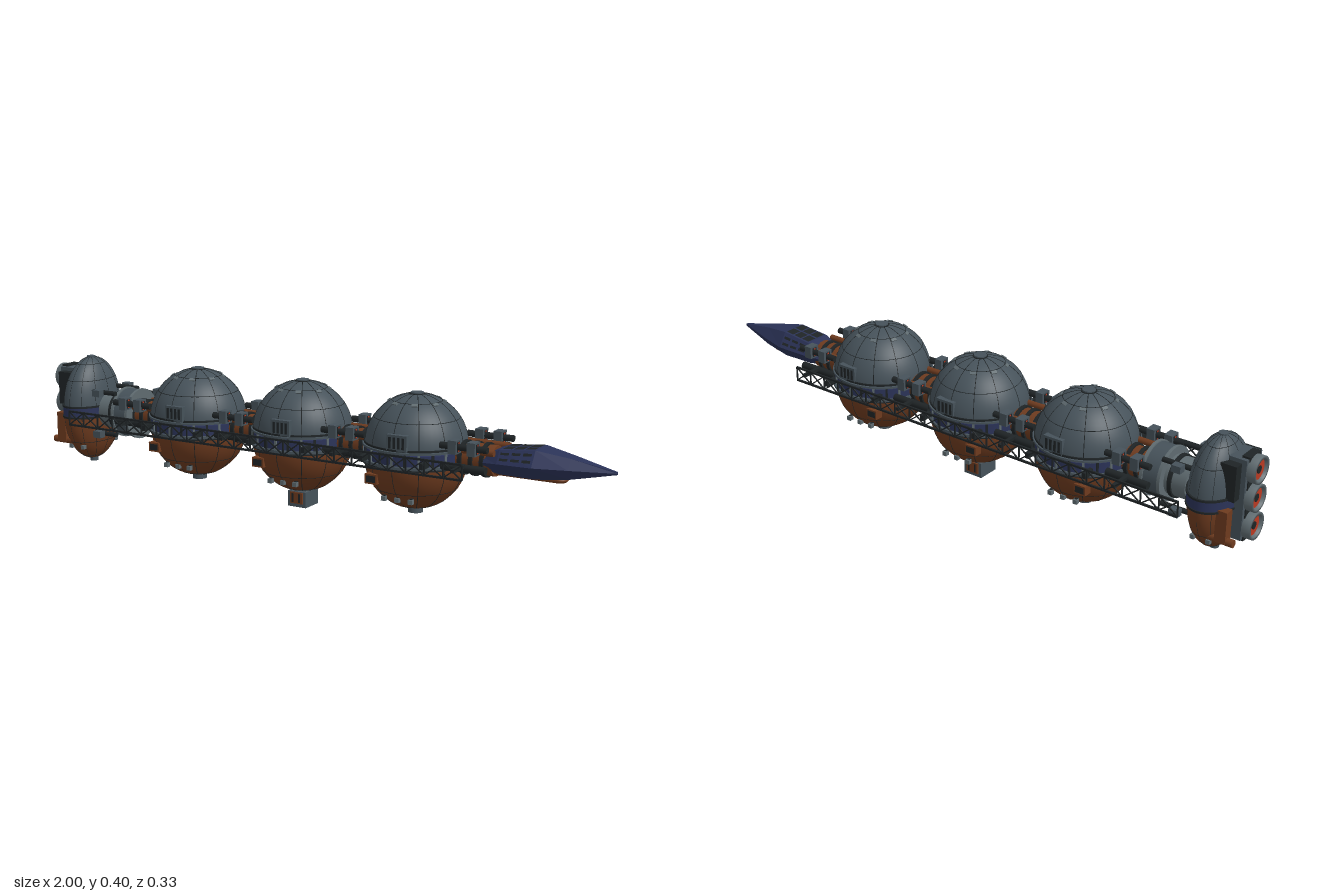
import * as THREE from 'three';

const paint = (name, color) => {
  const m = new THREE.MeshStandardMaterial({ color, side: THREE.DoubleSide });
  m.name = name;
  return m;
};

export function createModel() {
  const slate = paint('slate hull', 0x46525a), brown = paint('rust brown', 0x6e3b1f);
  const navy = paint('navy', 0x2b3358), dark = paint('dark metal', 0x1f2426);
  const steel = paint('steel', 0x5f6b70), glow = paint('engine red', 0xb83a22);
  const navyFlat = paint('navy faceted', 0x2b3358);
  navyFlat.flatShading = true;

  const ship = new THREE.Group();
  ship.name = 'ship';
  const group = (name, parent = ship, x = 0, y = 0, z = 0) => {
    const g = new THREE.Group();
    g.name = name;
    g.position.set(x, y, z);
    parent.add(g);
    return g;
  };
  const add = (parent, name, geo, mat, x = 0, y = 0, z = 0) => {
    const m = new THREE.Mesh(geo, mat);
    m.name = name;
    m.position.set(x, y, z);
    parent.add(m);
    return m;
  };
  const box = (p, name, mat, x, y, z, w, h, d) => add(p, name, new THREE.BoxGeometry(w, h, d), mat, x, y, z);
  const tubeX = (p, name, mat, x, y, z, r, len, seg = 24) =>
    add(p, name, new THREE.CylinderGeometry(r, r, len, seg).rotateZ(Math.PI / 2), mat, x, y, z);
  const discY = (p, name, mat, x, y, z, r, len, seg = 32) =>
    add(p, name, new THREE.CylinderGeometry(r, r, len, seg), mat, x, y, z);
  const strut = (p, name, mat, a, b, t) => {
    const A = new THREE.Vector3(...a), B = new THREE.Vector3(...b);
    const m = box(p, name, mat, 0, 0, 0, t, t, A.distanceTo(B));
    m.position.copy(A).add(B).multiplyScalar(0.5);
    m.lookAt(B);
  };

  // Two hemispheres with panel seams, in unit scale so they can be stretched
  const shell = (p, r, gap, meridians) => {
    for (const s of [1, -1]) {
      const half = group(s > 0 ? 'upperShell' : 'lowerShell', p, 0, s * gap);
      add(half, 'dome', new THREE.SphereGeometry(r, 48, 16, 0, Math.PI * 2, s > 0 ? 0 : Math.PI / 2, Math.PI / 2), s > 0 ? slate : brown);
      for (let i = 0; i < meridians; i++) {
        const arc = new THREE.TorusGeometry(r, 0.0011, 4, 20, Math.PI / 2);
        if (s < 0) arc.rotateZ(-Math.PI / 2);
        add(half, 'seam', arc, dark).rotation.y = i * Math.PI * 2 / meridians;
      }
      for (const f of s > 0 ? [0.55, 0.87] : [0.57, 0.92])
        add(half, 'ringSeam', new THREE.TorusGeometry(r * Math.sqrt(1 - f * f), 0.0011, 4, 40).rotateX(Math.PI / 2), dark, 0, s * r * f);
    }
  };

  // Spherical tanks
  const Y = 0.225, R = 0.155;
  [-0.43, -0.03, 0.37].forEach((x, k) => {
    const tank = group('tank', ship, x, Y);
    shell(tank, R, 0.02, 12);
    discY(tank, 'navyBelt', navy, 0, 0, 0, 0.157, 0.032, 48);
    for (const [y, r, h, m] of [[0.03, 0.158, 0.006, dark], [0.023, 0.162, 0.006, slate], [-0.021, 0.163, 0.008, slate], [-0.028, 0.159, 0.005, dark]])
      discY(tank, 'beltRing', m, 0, y, 0, r, h, 48);
    for (let i = 0; i < 24; i++) {
      const a = i * Math.PI / 12;
      box(tank, 'beltClamp', i % 2 ? dark : steel, 0.157 * Math.cos(a), 0, 0.157 * Math.sin(a), 0.007, 0.04, 0.007).rotation.y = -a;
    }
    discY(tank, 'topCap', slate, 0, 0.174, 0, 0.02, 0.009);
    discY(tank, 'capRing', dark, 0, 0.171, 0, 0.024, 0.008);
    // Small hatches round the upper dome
    for (let i = 0; i < 8; i++) {
      const a = (i + 0.5) * Math.PI / 4;
      const h = box(tank, 'hatch', steel, 0.083 * Math.cos(a), 0.151, 0.083 * Math.sin(a), 0.018, 0.01, 0.007);
      h.lookAt(new THREE.Vector3(x + 0.3 * Math.cos(a), Y + 0.45, 0.3 * Math.sin(a)));
    }
    for (const s of [1, -1]) {
      // Vent housing, locker and lamps on each flank
      box(tank, 'ventHousing', slate, 0.015, 0.053, s * 0.147, 0.066, 0.048, 0.02);
      for (let i = 0; i < 4; i++) box(tank, 'ventSlot', dark, -0.007 + i * 0.0145, 0.053, s * 0.157, 0.008, 0.034, 0.003);
      box(tank, 'locker', brown, -0.075, -0.068, s * 0.132, 0.04, 0.03, 0.028);
      box(tank, 'lockerDoor', dark, -0.075, -0.068, s * 0.1463, 0.03, 0.02, 0.001);
      for (const lx of [-0.045, 0, 0.045]) {
        box(tank, 'lampArm', dark, lx, -0.122, s * 0.103, 0.007, 0.007, 0.03);
        box(tank, 'lamp', steel, lx, -0.128, s * 0.117, 0.014, 0.014, 0.014);
      }
      for (const dx of [-0.1, 0.1]) box(tank, 'bracket', dark, dx, -0.005, s * 0.145, 0.012, 0.018, 0.04);
    }
    // Keel fitting; the middle tank carries a larger dock
    if (k === 1) {
      box(tank, 'dock', slate, 0, -0.2, 0, 0.066, 0.05, 0.074);
      box(tank, 'dockCollar', steel, 0, -0.178, 0, 0.055, 0.014, 0.05);
      for (const s of [1, -1]) {
        box(tank, 'dockDoor', brown, 0, -0.195, s * 0.039, 0.045, 0.036, 0.006);
        for (const dx of [-0.012, 0.012]) box(tank, 'dockSlot', dark, dx, -0.195, s * 0.0425, 0.006, 0.028, 0.001);
      }
    } else {
      discY(tank, 'keelStub', slate, 0, -0.18, 0, 0.023, 0.02);
      discY(tank, 'keelRing', dark, 0, -0.169, 0, 0.03, 0.007);
    }
  });

  // Couplings ahead of and behind each tank
  for (const x of [-0.63, -0.23, 0.17, 0.57]) {
    const c = group('coupling', ship, x, Y);
    tubeX(c, 'sleeve', brown, 0, 0, 0, 0.046, 0.13);
    for (const dx of [-0.035, 0, 0.035]) tubeX(c, 'flange', dark, dx, 0, 0, 0.052, 0.012);
    for (const s of [1, -1]) {
      tubeX(c, 'transferPipe', dark, 0, 0.05, s * 0.092, 0.01, 0.15, 10);
      tubeX(c, 'lowerPipe', dark, 0, -0.012, s * 0.09, 0.012, 0.14, 10);
      tubeX(c, 'innerPipe', brown, 0, 0.035, s * 0.058, 0.01, 0.16, 10);
      for (const dx of [-0.03, 0.03]) {
        box(c, 'valveBox', slate, dx, 0.05, s * 0.092, 0.026, 0.04, 0.036);
        box(c, 'valvePlate', dark, dx, 0.05, s * 0.092, 0.028, 0.03, 0.018);
        for (const dy of [-0.011, 0.011]) box(c, 'valveLight', glow, dx, 0.05 + dy, s * 0.092, 0.03, 0.006, 0.006);
      }
      box(c, 'trussTie', dark, 0, -0.005, s * 0.125, 0.012, 0.01, 0.08);
    }
  }
  tubeX(ship, 'spine', dark, -0.13, Y, 0, 0.035, 1.5);

  // Flat lattice girders along both flanks
  for (const s of [1, -1]) {
    const t = group('truss', ship), z = s * 0.163, lo = 0.197, hi = 0.242, n = 24, step = 1.44 / n;
    for (const y of [lo, hi]) strut(t, 'chord', dark, [-0.84, y, z], [0.6, y, z], 0.006);
    for (let i = 0; i <= n; i++) {
      const a = -0.84 + i * step;
      strut(t, 'post', dark, [a, lo, z], [a, hi, z], 0.004);
      if (i === n) break;
      strut(t, 'brace', dark, [a, lo, z], [a + step, hi, z], 0.0035);
      strut(t, 'brace', dark, [a, hi, z], [a + step, lo, z], 0.0035);
    }
  }

  // Neck drum between the tanks and the engine pod
  const neck = group('neck', ship, 0, Y);
  tubeX(neck, 'drum', slate, -0.697, 0, 0, 0.08, 0.05, 32);
  for (const x of [-0.726, -0.668]) tubeX(neck, 'drumRim', steel, x, 0, 0, 0.084, 0.01, 32);
  tubeX(neck, 'neckSleeve', steel, -0.765, 0, 0, 0.06, 0.07, 32);
  tubeX(neck, 'neckRing', dark, -0.75, 0, 0, 0.066, 0.012, 32);
  for (const s of [1, -1]) for (const y of [0.07, -0.07]) {
    tubeX(neck, 'neckPipe', dark, -0.79, y, s * 0.06, 0.008, 0.13, 8);
    box(neck, 'neckBox', slate, -0.785, y, s * 0.08, 0.03, 0.022, 0.025);
  }

  // Engine pod
  const pod = group('enginePod', ship, -0.875, Y);
  const podShell = group('podShell', pod);
  shell(podShell, R, 0.015, 12);
  podShell.scale.set(0.48, 1.03, 0.77);
  const belt = discY(pod, 'podBelt', navy, 0, 0, 0, 1, 0.03, 40);
  belt.scale.set(0.077, 1, 0.122);
  for (const y of [0.018, -0.018]) discY(pod, 'podRing', dark, 0, y, 0, 1, 0.006, 40).scale.set(0.08, 1, 0.125);
  discY(pod, 'podCap', slate, 0, 0.174, 0, 0.014, 0.008);
  discY(pod, 'podKeel', slate, 0, -0.176, 0, 0.014, 0.02);
  box(pod, 'engineFrame', slate, -0.072, 0.012, 0, 0.055, 0.25, 0.085);
  box(pod, 'frameSpine', dark, -0.09, 0.012, 0, 0.025, 0.262, 0.06);
  for (const s of [1, -1]) {
    box(pod, 'sideTank', brown, -0.062, -0.06, s * 0.078, 0.035, 0.1, 0.03);
    tubeX(pod, 'sideThruster', brown, -0.055, -0.105, s * 0.08, 0.012, 0.09, 12);
    box(pod, 'sidePanel', dark, -0.06, 0.07, s * 0.056, 0.05, 0.11, 0.03);
    for (const dx of [-0.025, 0.025]) box(pod, 'podLamp', steel, dx, -0.122, s * 0.085, 0.013, 0.013, 0.014);
  }
  for (const y of [0.1, 0.012, -0.076]) {
    const pts = [[0.034, 0], [0.042, 0.012], [0.042, 0.05], [0.033, 0.05], [0.029, 0.03]];
    add(pod, 'nozzle', new THREE.LatheGeometry(pts.map(q => new THREE.Vector2(...q)), 28).rotateZ(Math.PI / 2), steel, -0.075, y);
    tubeX(pod, 'nozzleGlow', glow, -0.112, y, 0, 0.031, 0.008, 28);
    tubeX(pod, 'nozzleCore', dark, -0.114, y, 0, 0.012, 0.008, 16);
  }

  // Faceted command nose: x, bottom, middle, top heights, then half widths top, middle, bottom
  const stations = [
    [0.59, 0.205, 0.225, 0.245, 0.03, 0.045, 0.028], [0.66, 0.197, 0.232, 0.27, 0.044, 0.066, 0.04],
    [0.77, 0.196, 0.235, 0.281, 0.042, 0.072, 0.042], [0.87, 0.206, 0.235, 0.265, 0.022, 0.044, 0.028],
    [1, 0.231, 0.235, 0.239, 0.002, 0.003, 0.002]];
  const ring = ([x, yb, ym, yt, wt, wm, wb]) =>
    [[x, yt, wt], [x, ym, wm], [x, yb, wb], [x, yb, -wb], [x, ym, -wm], [x, yt, -wt]];
  const rings = stations.map(ring), pos = [];
  for (let i = 0; i < rings.length - 1; i++) for (let j = 0; j < 6; j++) {
    const k = (j + 1) % 6, a = rings[i][j], b = rings[i][k], c = rings[i + 1][k], d = rings[i + 1][j];
    pos.push(...a, ...b, ...c, ...a, ...c, ...d);
  }
  for (let j = 1; j < 5; j++) {
    pos.push(...rings[0][0], ...rings[0][j + 1], ...rings[0][j]);
    pos.push(...rings[4][0], ...rings[4][j], ...rings[4][j + 1]);
  }
  const surface = list => {
    const g = new THREE.BufferGeometry();
    g.setAttribute('position', new THREE.Float32BufferAttribute(list, 3));
    g.computeVertexNormals();
    return g;
  };
  const nose = group('commandNose');
  add(nose, 'noseHull', surface(pos), navyFlat);

  // Window panes laid on the facets between the second and third stations
  const pane = (j, u0, u1, t0, t1) => {
    const k = (j + 1) % 6;
    const at = (u, t) => new THREE.Vector3(...rings[1][j]).lerp(new THREE.Vector3(...rings[2][j]), u)
      .lerp(new THREE.Vector3(...rings[1][k]).lerp(new THREE.Vector3(...rings[2][k]), u), t);
    const q = [at(u0, t0), at(u0, t1), at(u1, t1), at(u1, t0)];
    const n = q[1].clone().sub(q[0]).cross(q[3].clone().sub(q[0])).normalize().multiplyScalar(0.0015);
    const [a, b, c, d] = q.map(v => v.add(n).toArray());
    add(nose, 'windowPane', surface([...a, ...b, ...c, ...a, ...c, ...d]), dark);
  };
  for (let i = 0; i < 3; i++) {
    const u = 0.06 + i * 0.32;
    for (const t of [0.06, 0.54]) pane(5, u, u + 0.27, t, t + 0.4);
    for (const j of [0, 4]) for (const t of [0.2, 0.6]) pane(j, u, u + 0.24, t, t + 0.16);
  }
  const belly = add(nose, 'bellyPod', new THREE.CapsuleGeometry(0.025, 0.19, 6, 16).rotateZ(Math.PI / 2), brown, 0.735, 0.196, 0);
  belly.scale.y = 0.45;
  tubeX(nose, 'noseCollar', brown, 0.6, 0.225, 0, 0.036, 0.06);

  return ship;
}
